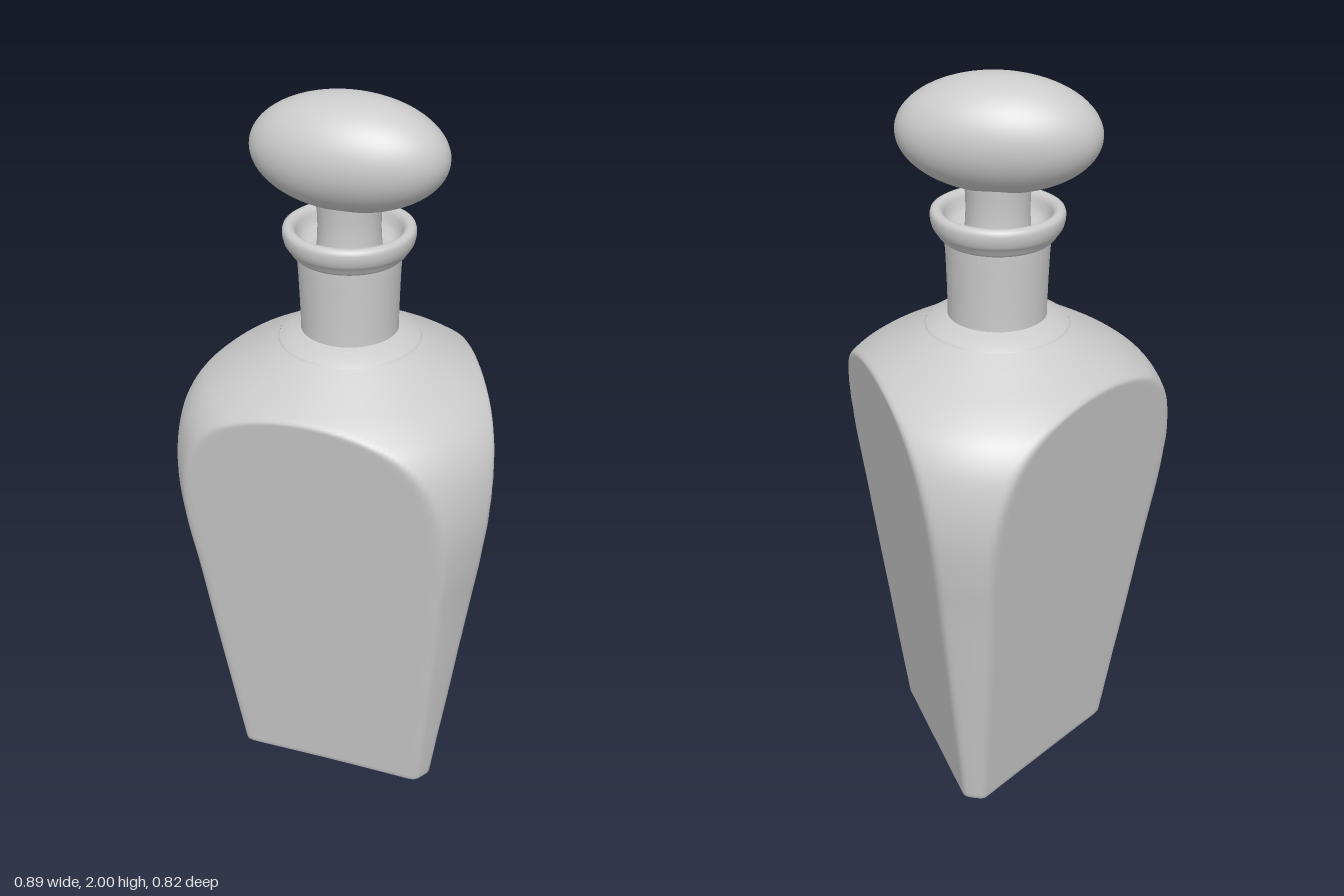
import * as THREE from 'three';

const AXIS_Z = -0.065; // centre line of the bottle
const SIDES = 216;

// Smooth minimum: rounds the edge where a flat face cuts the round body
function softMin(a, b, k) {
  const h = Math.max(k - Math.abs(a - b), 0) / k;
  return Math.min(a, b) - h * h * k * 0.25;
}

// Distance from the centre line to the surface: round profile cut by three leaning planes
function bodyRadius(r, y, angle) {
  const third = (Math.PI * 2) / 3;
  const fromBack = angle - Math.PI; // one face looks straight back
  const off = fromBack - third * Math.round(fromBack / third);
  return softMin(r, (0.185 + 0.128 * y) / Math.cos(off), 0.012);
}

// Skin closed loops, rows running upward; each row is { r, y, inset }
function skin(rows) {
  const pos = [], index = [];
  rows.forEach(({ r, y, inset = 0 }) => {
    for (let i = 0; i < SIDES; i++) {
      const a = (i / SIDES) * Math.PI * 2;
      const d = r === 0 ? 0 : bodyRadius(r, y, a) - inset;
      pos.push(Math.sin(a) * d, y, Math.cos(a) * d);
    }
  });
  for (let j = 0; j < rows.length - 1; j++) {
    for (let i = 0; i < SIDES; i++) {
      const k = (i + 1) % SIDES;
      const a = j * SIDES + i, b = j * SIDES + k;
      index.push(a, b, b + SIDES, a, b + SIDES, a + SIDES);
    }
  }
  const geo = new THREE.BufferGeometry();
  geo.setAttribute('position', new THREE.Float32BufferAttribute(pos, 3));
  geo.setIndex(index);
  geo.computeVertexNormals();
  return geo;
}

export function createModel() {
  const model = new THREE.Group();
  model.name = 'stopperedBottle';
  const bottle = new THREE.Group();
  bottle.name = 'bottle';
  bottle.position.z = AXIS_Z;
  model.add(bottle);

  const glass = new THREE.MeshStandardMaterial({ color: 0xcccccc });
  const add = (name, geo) => {
    const mesh = new THREE.Mesh(geo, glass);
    mesh.name = name;
    bottle.add(mesh);
    return mesh;
  };
  const lathe = (pts) =>
    new THREE.LatheGeometry(pts.map(([x, y]) => new THREE.Vector2(x, y)), 72);

  // Body: shouldered profile with three flat facets
  const profile = new THREE.CatmullRomCurve3(
    [[0.323, 0], [0.362, 0.23], [0.401, 0.46], [0.437, 0.68], [0.462, 0.82], [0.475, 0.95],
      [0.469, 1.05], [0.448, 1.13], [0.411, 1.19], [0.355, 1.237], [0.254, 1.298], [0.19, 1.335]]
      .map(([r, y]) => new THREE.Vector3(r, y, 0)));
  const rows = profile.getPoints(132).map((p) => ({ r: p.x, y: p.y }));
  rows[0] = { r: 0.323, y: 0, inset: 0.006 };
  rows.splice(1, 0, { r: 0.324, y: 0.007 });
  add('body', skin(rows));

  // Flat underside
  add('base', skin([{ r: 0, y: 0 }, { r: 0.323, y: 0, inset: 0.006 }]));

  // Sloping collar between shoulder and neck
  add('collar', lathe([[0.191, 1.333], [0.186, 1.342], [0.155, 1.355], [0.125, 1.367]]));

  // Neck
  add('neck', lathe([[0.13, 1.35], [0.129, 1.38], [0.131, 1.45], [0.134, 1.53],
    [0.136, 1.56], [0.136, 1.59]]));

  // Rounded lip with a dished mouth
  add('lip', lathe([[0.13, 1.572], [0.143, 1.576], [0.152, 1.585], [0.154, 1.595], [0.162, 1.6],
    [0.168, 1.61], [0.172, 1.625], [0.173, 1.64], [0.17, 1.65], [0.162, 1.655], [0.152, 1.655],
    [0.143, 1.649], [0.138, 1.638], [0.133, 1.62], [0.124, 1.605], [0.108, 1.595], [0.07, 1.592]]));

  // Stopper: stem and flattened oval knob turned about the neck
  add('stopperStem', lathe([[0.088, 1.58], [0.084, 1.61], [0.082, 1.65], [0.083, 1.69], [0.088, 1.74]]));
  const knob = add('stopperKnob', new THREE.SphereGeometry(1, 64, 40));
  knob.scale.set(0.155, 0.15, 0.261);
  knob.position.y = 1.85;
  knob.rotation.y = THREE.MathUtils.degToRad(32);

  return model;
}
